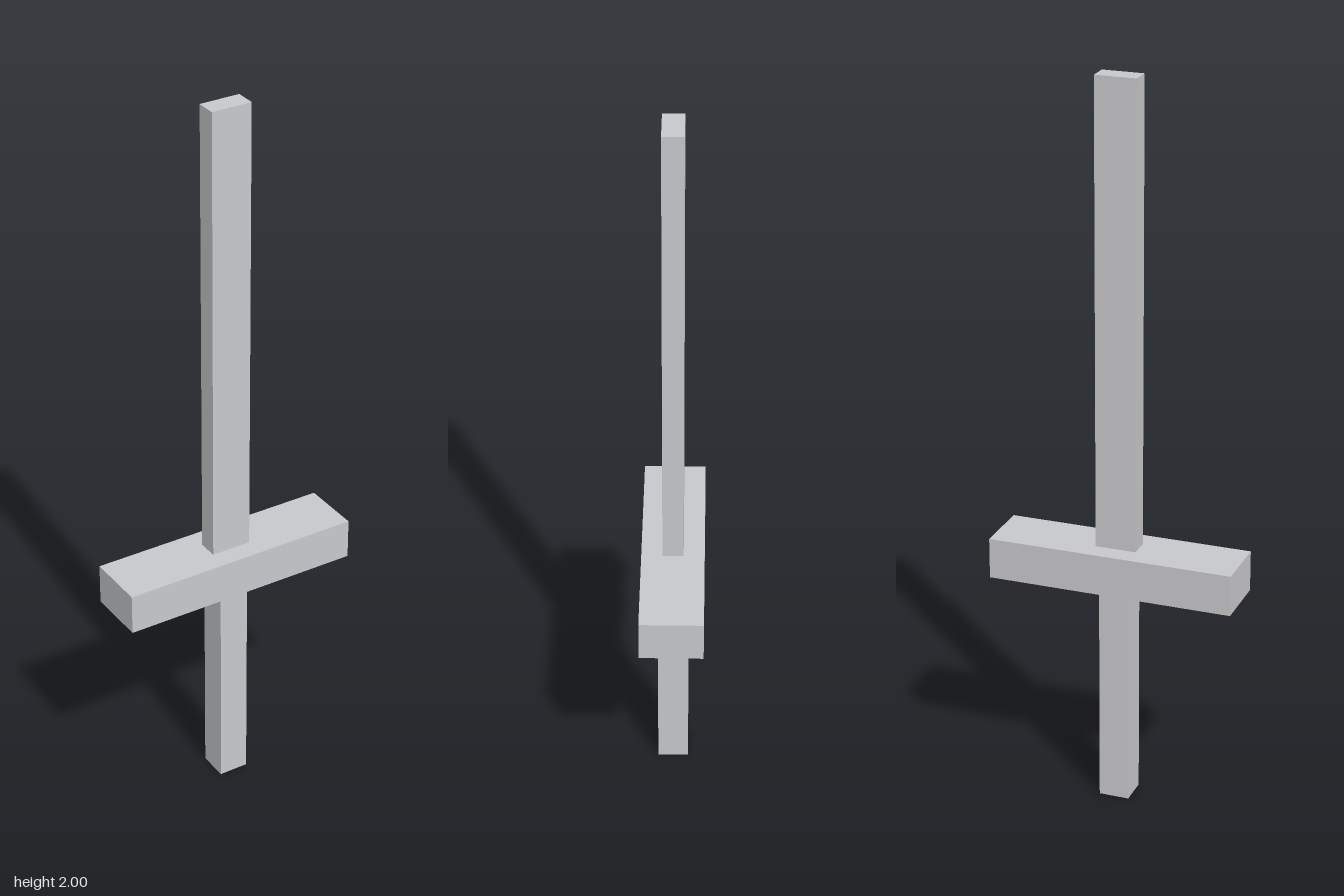
import * as THREE from 'three';

export function createModel() {
  const model = new THREE.Group();
  model.name = 'sword';
  const steel = new THREE.MeshStandardMaterial({ color: 0xc8c9cc });
  steel.name = 'light grey';

  // Box standing between two heights, centred on the vertical axis
  const addBar = (name, width, depth, bottom, top) => {
    const bar = new THREE.Mesh(new THREE.BoxGeometry(width, top - bottom, depth), steel);
    bar.name = name;
    bar.position.y = (bottom + top) / 2;
    model.add(bar);
  };

  addBar('grip', 0.083, 0.083, 0, 0.622);
  addBar('crossGuard', 0.674, 0.168, 0.622, 0.734);
  addBar('blade', 0.112, 0.056, 0.734, 2);

  return model;
}
